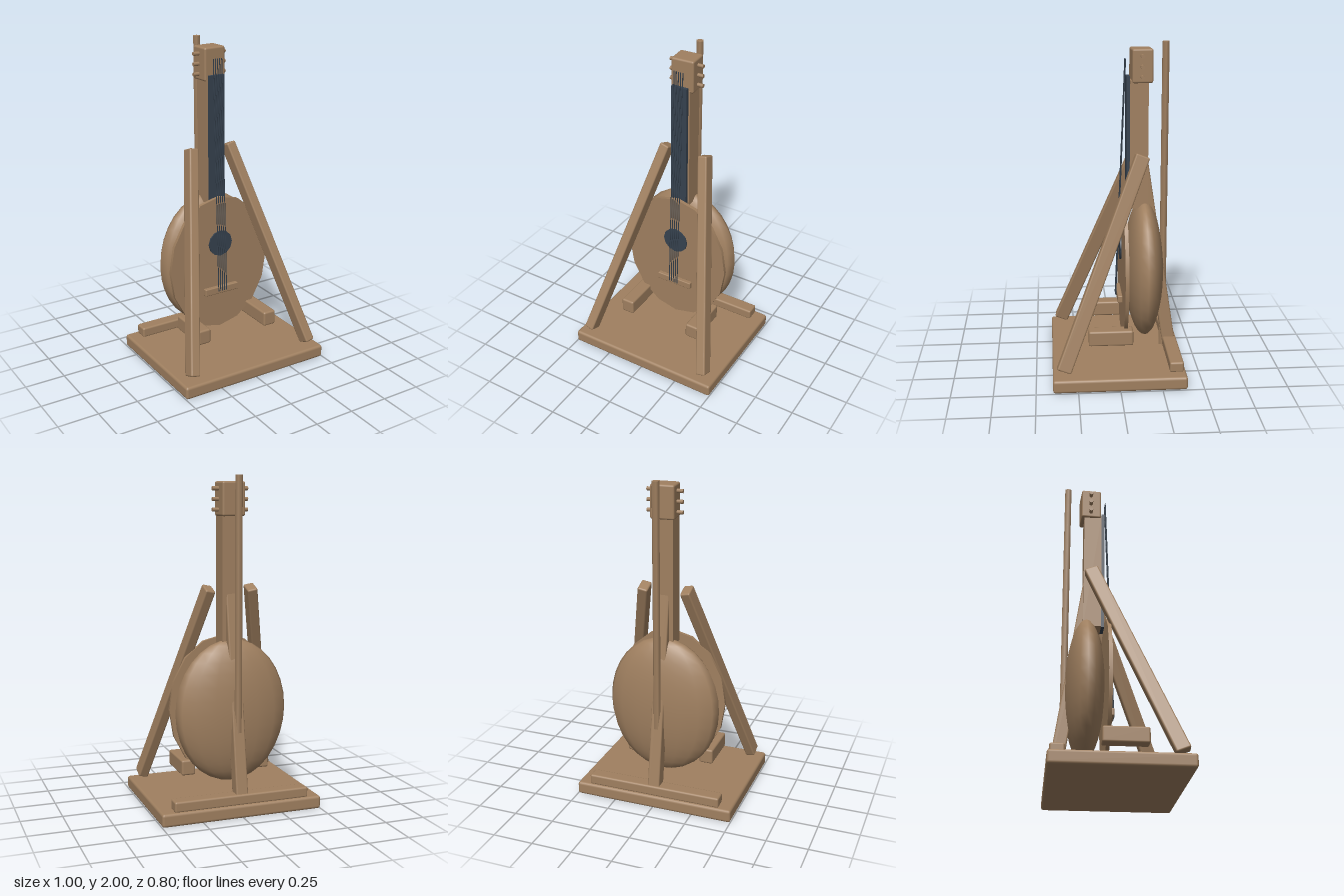
import * as THREE from 'three';
import { RoundedBoxGeometry } from 'three/addons/geometries/RoundedBoxGeometry.js';

export function createModel() {
  const model = new THREE.Group();
  const wood = new THREE.MeshStandardMaterial({ color: 0xa08060 });
  wood.name = 'wood';
  const dark = new THREE.MeshStandardMaterial({ color: 0x36424f });
  dark.name = 'dark slate';

  const add = (name, geometry, material, x, y, z) => {
    const mesh = new THREE.Mesh(geometry, material);
    mesh.name = name;
    mesh.position.set(x, y, z);
    model.add(mesh);
    return mesh;
  };
  const block = (name, w, h, d, x, y, z, r = 0.012) =>
    add(name, new RoundedBoxGeometry(w, h, d, 2, r), wood, x, y, z);

  // Lays a mesh built along y between two points
  const span = (name, geometryFor, material, a, b) => {
    const from = new THREE.Vector3(...a), to = new THREE.Vector3(...b);
    const d = to.clone().sub(from), length = d.length();
    d.normalize();
    const mid = from.add(to).multiplyScalar(0.5);
    const mesh = add(name, geometryFor(length), material, mid.x, mid.y, mid.z);
    mesh.rotation.set(Math.atan2(d.z, d.y), 0, Math.asin(-d.x));
    return mesh;
  };
  const bar = (w, d) => (length) => new RoundedBoxGeometry(w, length, d, 2, 0.01);

  // Stand: base, rear rail, upright pole
  block('base', 1, 0.07, 0.8, 0, 0.035, 0, 0.015).scale.y = 0.08 / 0.07;
  model.getObjectByName('base').position.y = 0.04;
  block('rearRail', 0.84, 0.065, 0.085, 0, 0.108, -0.343);
  add('rearPole', new THREE.CylinderGeometry(0.023, 0.023, 1.92, 6).toNonIndexed(), wood, 0, 1.04, -0.3)
    .rotation.y = Math.PI / 6;

  // Three leaning legs and two resting arms
  span('rearLeg', bar(0.075, 0.08), wood, [0, 0.09, -0.342], [0, 1.34, -0.15]);
  for (const s of [1, -1]) {
    span('frontLeg', bar(0.062, 0.088), wood, [s * 0.422, 0.108, 0.335], [s * 0.131, 1.345, -0.155]);
    block('restArm', 0.086, 0.095, 0.27, s * 0.241, 0.245, 0.043);
  }

  // Instrument: rounded back and flat soundboard
  const back = add('bodyBack', new THREE.SphereGeometry(1, 16, 16), wood, 0, 0.605, -0.177);
  back.scale.set(0.35, 0.433, 0.118);
  const board = new THREE.CylinderGeometry(1, 1, 1, 16).rotateX(Math.PI / 2);
  add('soundboard', board, wood, 0, 0.608, -0.05).scale.set(0.35, 0.44, 0.022);
  add('soundHole', new THREE.CylinderGeometry(0.083, 0.083, 0.009, 12).rotateX(Math.PI / 2), dark, 0, 0.745, -0.031);
  block('bridge', 0.24, 0.046, 0.03, 0, 0.433, -0.024, 0.006);

  // Neck, fingerboard and head
  add('neck', new THREE.BoxGeometry(0.124, 0.78, 0.11), wood, 0, 1.39, -0.14);
  add('fingerboard', new THREE.BoxGeometry(0.104, 0.8, 0.02), dark, 0, 1.4, -0.075);
  block('head', 0.145, 0.2, 0.125, 0, 1.863, -0.155).rotation.y = 0.06;

  // Tuning pegs run through the head
  for (let i = 0; i < 3; i++) {
    add('tuningPeg', new THREE.CylinderGeometry(0.012, 0.012, 0.22, 8).rotateZ(Math.PI / 2), wood, 0, 1.8 + i * 0.061, -0.155);
  }

  // Strings rise from the bridge to the head
  for (let i = -2; i <= 2; i++) {
    const x = i * 0.0145;
    span('string', (length) => new THREE.CylinderGeometry(0.003, 0.003, length, 6), dark, [x, 0.43, -0.003], [x, 1.9, -0.06]);
  }
  return model;
}
